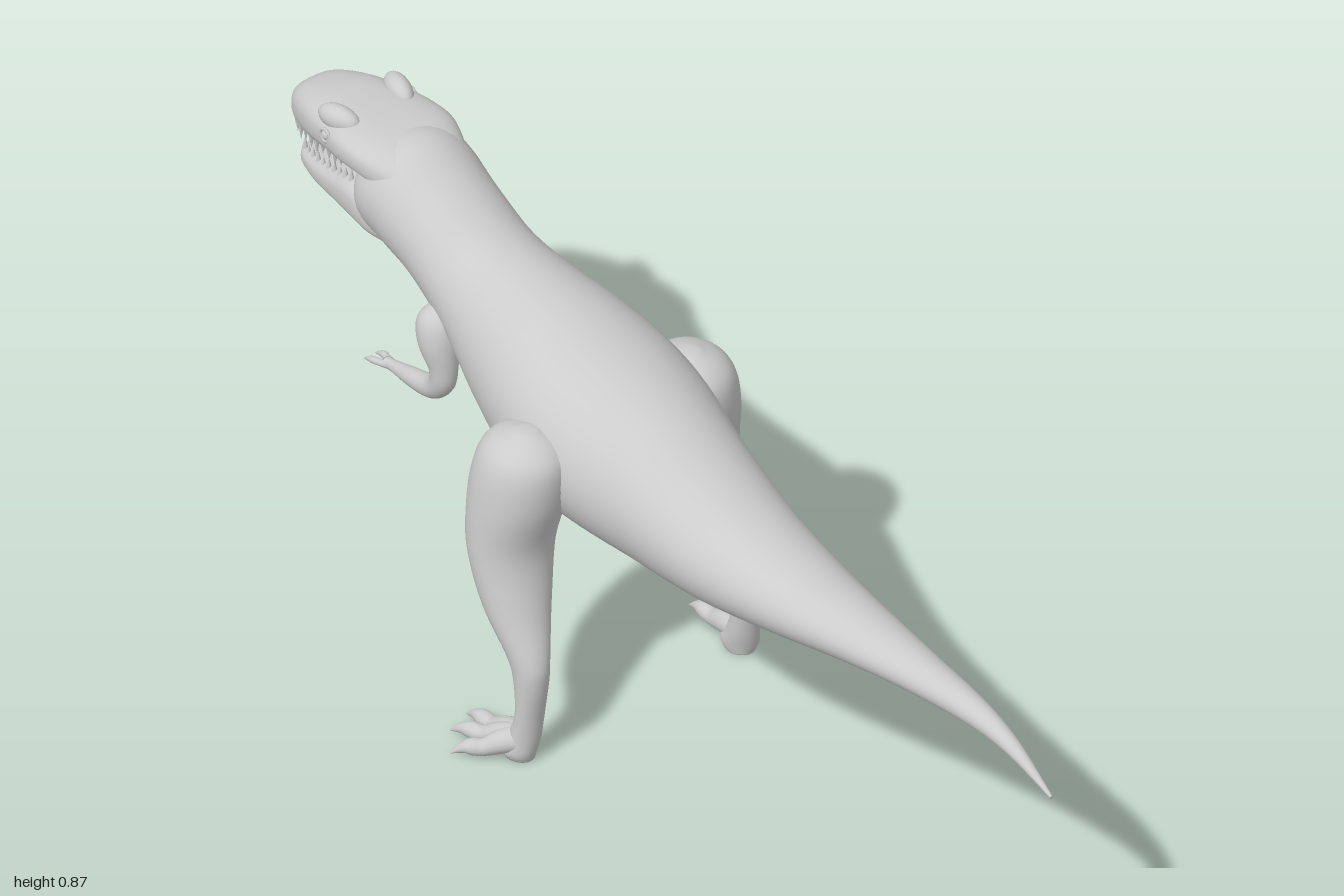
import * as THREE from 'three';

const skin = new THREE.MeshStandardMaterial({ color: 0xcccccc });
const V = (x, y, z) => new THREE.Vector3(x, y, z);

// Catmull-Rom over every column of a table of rows; t runs 0..1
function sample(rows, t) {
  const f = t * (rows.length - 1), i = Math.min(Math.floor(f), rows.length - 2), k = f - i;
  const at = (n) => rows[Math.max(0, Math.min(rows.length - 1, n))];
  return rows[0].map((_, c) => {
    const [a, b, d, e] = [at(i - 1)[c], at(i)[c], at(i + 1)[c], at(i + 2)[c]];
    return b + 0.5 * k * (d - a + k * (2 * a - 5 * b + 4 * d - e + k * (3 * (b - d) + e - a)));
  });
}

// Smooth closed skin through rings { c, u, v }, where u x v points along the loft
function loft(name, rings, sides = 32, power = 1) {
  const pos = [], idx = [], n = rings.length;
  const bend = (s) => Math.sign(s) * Math.pow(Math.abs(s), power);
  for (const { c, u, v } of rings) {
    for (let j = 0; j < sides; j++) {
      const a = (j / sides) * Math.PI * 2;
      const p = c.clone().addScaledVector(u, bend(Math.cos(a))).addScaledVector(v, bend(Math.sin(a)));
      pos.push(p.x, p.y, p.z);
    }
  }
  for (let i = 0; i < n - 1; i++) {
    for (let j = 0; j < sides; j++) {
      const a = i * sides + j, b = i * sides + ((j + 1) % sides);
      idx.push(a, b, a + sides, b, b + sides, a + sides);
    }
  }
  const first = n * sides, last = (n - 1) * sides;
  pos.push(...rings[0].c.toArray(), ...rings[n - 1].c.toArray());
  for (let j = 0; j < sides; j++) {
    const k = (j + 1) % sides;
    idx.push(first, k, j, first + 1, last + j, last + k);
  }
  const g = new THREE.BufferGeometry();
  g.setAttribute('position', new THREE.Float32BufferAttribute(pos, 3));
  g.setIndex(idx);
  g.computeVertexNormals();
  const mesh = new THREE.Mesh(g, skin);
  mesh.name = name;
  return mesh;
}

// Rings along x from rows [x, top, bottom, halfWidth]
function alongX(name, rows, steps, power) {
  const rings = [];
  for (let i = 0; i <= steps; i++) {
    const [x, top, bot, w] = sample(rows, i / steps);
    rings.push({ c: V(x, (top + bot) / 2, 0), u: V(0, (top - bot) / 2, 0), v: V(0, 0, w) });
  }
  return loft(name, rings, 40, power);
}

// Tapered round limb from rows [x, y, z, radius]; side mirrors z
function limb(name, rows, side, steps = 24, sides = 14) {
  const pts = [];
  for (let i = 0; i <= steps; i++) pts.push(sample(rows, i / steps));
  const P = pts.map(([x, y, z]) => V(x, y, z * side));
  const rings = P.map((c, i) => {
    const t = P[Math.min(i + 1, steps)].clone().sub(P[Math.max(i - 1, 0)]).normalize();
    const u = V(0, 0, 1).addScaledVector(t, -t.z).normalize();
    const v = t.clone().cross(u);
    const r = Math.max(pts[i][3], 0.0005);
    return { c, u: u.multiplyScalar(r), v: v.multiplyScalar(r) };
  });
  return loft(name, rings, sides);
}

function ball(name, x, y, z, sx, sy, sz) {
  const m = new THREE.Mesh(new THREE.SphereGeometry(1, 20, 14), skin);
  m.name = name;
  m.position.set(x, y, z);
  m.scale.set(sx, sy, sz);
  return m;
}

const bodyRows = [
  [-0.77, 0.83, 0.70, 0.07], [-0.74, 0.85, 0.658, 0.102], [-0.68, 0.858, 0.638, 0.109],
  [-0.6, 0.82, 0.607, 0.105], [-0.5, 0.772, 0.545, 0.112], [-0.4, 0.757, 0.465, 0.135],
  [-0.3, 0.744, 0.42, 0.16], [-0.2, 0.72, 0.398, 0.175], [-0.1, 0.695, 0.39, 0.165],
  [0, 0.662, 0.388, 0.142], [0.1, 0.62, 0.393, 0.127], [0.2, 0.588, 0.405, 0.112],
  [0.35, 0.567, 0.435, 0.088], [0.5, 0.562, 0.468, 0.064], [0.65, 0.56, 0.493, 0.043],
  [0.8, 0.555, 0.507, 0.026], [0.9, 0.53, 0.5, 0.015], [1, 0.475, 0.469, 0.003],
];
const upperRows = [
  [-1, 0.785, 0.768, 0.014], [-0.99, 0.803, 0.755, 0.035], [-0.96, 0.826, 0.746, 0.058],
  [-0.9, 0.845, 0.753, 0.08], [-0.84, 0.852, 0.766, 0.092], [-0.78, 0.856, 0.776, 0.102],
  [-0.72, 0.856, 0.775, 0.1], [-0.66, 0.84, 0.75, 0.08],
];
const lowerRows = [
  [-0.97, 0.69, 0.676, 0.02], [-0.955, 0.7, 0.664, 0.045], [-0.9, 0.715, 0.662, 0.066],
  [-0.84, 0.735, 0.664, 0.08], [-0.78, 0.757, 0.665, 0.092], [-0.72, 0.75, 0.66, 0.095],
  [-0.66, 0.73, 0.66, 0.08],
];
// Leg levels: [y, back x, front x, inner z, outer z]
const legRows = [
  [0.625, -0.2, -0.17, 0.16, 0.19], [0.605, -0.25, -0.13, 0.12, 0.232], [0.57, -0.275, -0.108, 0.1, 0.256],
  [0.5, -0.284, -0.11, 0.1, 0.27], [0.4, -0.27, -0.132, 0.118, 0.278], [0.3, -0.225, -0.11, 0.152, 0.275],
  [0.22, -0.162, -0.08, 0.19, 0.264], [0.175, -0.138, -0.075, 0.2, 0.261], [0.1, -0.13, -0.085, 0.205, 0.26],
  [0.05, -0.147, -0.09, 0.206, 0.264], [0.02, -0.168, -0.095, 0.208, 0.27], [0.004, -0.16, -0.1, 0.212, 0.262],
];

// A row of cone teeth along one jaw edge; dir is -1 for upper, +1 for lower
function teeth(name, rows, dir, count, height) {
  const g = new THREE.Group();
  g.name = name;
  for (const side of [1, -1]) {
    for (let i = 0; i < count; i++) {
      const [x, top, bot, w] = sample(rows, 0.13 + (0.52 * i) / (count - 1));
      const h = height * (0.75 + 0.25 * Math.sin(i * 2.1)) * (1 - 0.4 * (i / count));
      const tooth = new THREE.Mesh(new THREE.ConeGeometry(0.006, h + 0.012, 8), skin);
      tooth.name = 'tooth';
      tooth.position.set(x, (dir < 0 ? bot : top) + dir * (h / 2 - 0.008), side * w * 0.78);
      if (dir < 0) tooth.rotation.x = Math.PI;
      g.add(tooth);
    }
  }
  return g;
}

function leg(side) {
  const g = new THREE.Group();
  g.name = side > 0 ? 'legNear' : 'legFar';
  const rings = [];
  for (let i = 0; i <= 55; i++) {
    const [y, x0, x1, z0, z1] = sample(legRows, i / 55);
    rings.push({ c: V((x0 + x1) / 2, y, side * (z0 + z1) / 2), u: V((x1 - x0) / 2, 0, 0), v: V(0, 0, (z1 - z0) / 2) });
  }
  g.add(loft('thighAndShin', rings));
  // Three splayed toes, each ending in a claw
  for (const [tx, tz] of [[-0.268, 0.24], [-0.25, 0.29], [-0.2, 0.33]]) {
    const at = (k, y, r) => [-0.115 + (tx + 0.115) * k, y, 0.235 + (tz - 0.235) * k, r];
    g.add(limb('toe', [at(0, 0.045, 0.024), at(0.3, 0.036, 0.022), at(0.55, 0.022, 0.016),
      at(0.72, 0.022, 0.015), at(0.85, 0.018, 0.009), at(1, 0.006, 0.001)], side));
  }
  return g;
}

function arm(side) {
  const g = new THREE.Group();
  g.name = side > 0 ? 'armNear' : 'armFar';
  g.add(limb('upperArmAndForearm', [
    [-0.53, 0.645, 0.085, 0.012], [-0.525, 0.62, 0.094, 0.036], [-0.515, 0.58, 0.1, 0.037], [-0.502, 0.535, 0.102, 0.026],
    [-0.505, 0.5, 0.102, 0.023], [-0.535, 0.472, 0.1, 0.021], [-0.59, 0.457, 0.097, 0.017],
    [-0.64, 0.447, 0.094, 0.011], [-0.665, 0.442, 0.093, 0.01],
  ], side, 40, 18));
  // Two clawed fingers
  for (const s of [-1, 1]) {
    g.add(limb('finger', [[-0.655, 0.443, 0.093 + s * 0.003, 0.008], [-0.675, 0.44, 0.093 + s * 0.009, 0.0065],
      [-0.69, 0.438, 0.093 + s * 0.012, 0.006], [-0.71, 0.429, 0.093 + s * 0.012, 0.001]], side, 12, 10));
  }
  return g;
}

export function createModel() {
  const model = new THREE.Group();
  model.name = 'dinosaur';
  model.add(alongX('bodyAndTail', bodyRows, 110, 1));

  // Head with open jaws
  const head = new THREE.Group();
  head.name = 'head';
  head.add(alongX('upperJaw', upperRows, 42, 0.75), alongX('lowerJaw', lowerRows, 36, 0.7));
  head.add(teeth('upperTeeth', upperRows, -1, 12, 0.032), teeth('lowerTeeth', lowerRows, 1, 11, 0.022));
  head.add(ball('tongue', -0.85, 0.735, 0, 0.09, 0.01, 0.035));
  for (const side of [1, -1]) {
    const brow = ball('brow', -0.828, 0.846, side * 0.064, 0.042, 0.024, 0.021);
    brow.rotation.y = side * 0.25;
    const lid = new THREE.Mesh(new THREE.TorusGeometry(0.012, 0.003, 8, 24), skin);
    lid.name = 'eyelid';
    lid.position.set(-0.83, 0.822, side * 0.093);
    head.add(brow, lid, ball('eye', -0.83, 0.822, side * 0.09, 0.01, 0.01, 0.008));
  }
  model.add(head);

  for (const side of [1, -1]) model.add(leg(side), arm(side));
  return model;
}
